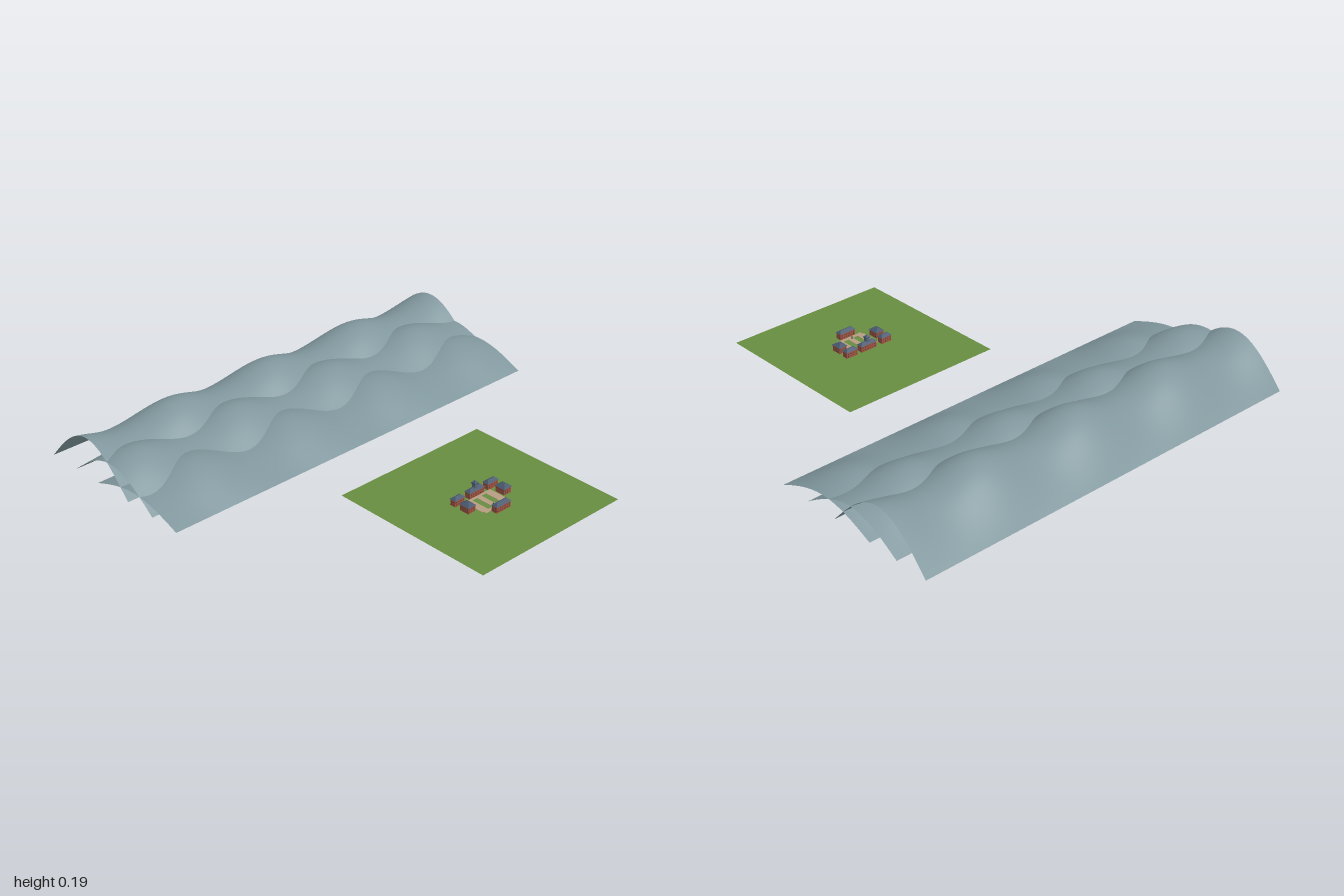
import * as THREE from 'three';

const mat = (name, color, side = THREE.FrontSide) => {
  const m = new THREE.MeshStandardMaterial({ color, side });
  m.name = name;
  return m;
};

export function createModel() {
  const model = new THREE.Group();
  model.name = 'valleyCampus';
  const hillMat = mat('hillBlueGrey', 0x80979d, THREE.DoubleSide);
  const grassMat = mat('grass', 0x688d40, THREE.DoubleSide);
  const pathMat = mat('sandPath', 0xb59d80);
  const brickMat = mat('brick', 0xa3503c);
  const roofMat = mat('slateRoof', 0x46566c, THREE.DoubleSide);
  const glassMat = mat('windowDark', 0x3a4350);
  const stoneMat = mat('towerSlate', 0x56687a);

  const add = (parent, name, geometry, material, x = 0, y = 0, z = 0) => {
    const mesh = new THREE.Mesh(geometry, material);
    mesh.name = name;
    mesh.position.set(x, y, z);
    parent.add(mesh);
    return mesh;
  };
  const box = (parent, name, w, h, d, material, x, y, z) =>
    add(parent, name, new THREE.BoxGeometry(w, h, d), material, x, y, z);

  // Hills: open arched sheets whose crest height waves along x
  const ridges = [
    { name: 'frontRidge', z: -0.365, base: 0.086, peak: 0.325, period: 0.515 },
    { name: 'middleRidge', z: -0.52, base: 0.134, peak: 0.19, period: 0.53 },
    { name: 'backRidge', z: -0.682, base: 0.169, peak: 0, period: 0.525 },
  ];
  for (const r of ridges) {
    const g = new THREE.PlaneGeometry(2, 0.525, 96, 32).rotateX(-Math.PI / 2);
    const p = g.attributes.position;
    for (let i = 0; i < p.count; i++) {
      const crest = r.base + 0.026 * Math.cos((2 * Math.PI * (p.getX(i) - r.peak)) / r.period);
      p.setY(i, crest * Math.cos((Math.PI * p.getZ(i)) / 0.525));
    }
    g.computeVertexNormals();
    add(model, r.name, g, hillMat, 0, 0, r.z);
  }

  // Lawn
  const lawn = new THREE.PlaneGeometry(0.8, 0.8).rotateX(-Math.PI / 2);
  add(model, 'lawn', lawn, grassMat, 0.065, 0.0015, 0.543);

  // Paths: three lanes joined at both ends, showing above and below the lawn
  const paths = new THREE.Group();
  paths.name = 'paths';
  model.add(paths);
  for (const [x, w] of [[0.007, 0.036], [0.065, 0.026], [0.123, 0.036]])
    box(paths, 'lane', w, 0.003, 0.09, pathMat, x, 0.0015, 0.585);
  box(paths, 'backWalk', 0.152, 0.003, 0.012, pathMat, 0.065, 0.0015, 0.534);
  box(paths, 'frontWalk', 0.14, 0.003, 0.016, pathMat, 0.065, 0.0015, 0.638);

  // Hipped roof: a box with its top drawn in to a short ridge
  const hipRoof = (w, h, d) => {
    const g = new THREE.BoxGeometry(w, h, d).toNonIndexed();
    const p = g.attributes.position;
    const inset = Math.min(w, d) * 0.42;
    for (let i = 0; i < p.count; i++) {
      if (p.getY(i) < 0) continue;
      p.setX(i, p.getX(i) - Math.sign(p.getX(i)) * inset);
      p.setZ(i, p.getZ(i) - Math.sign(p.getZ(i)) * inset);
    }
    g.computeVertexNormals();
    return g;
  };

  // Brick hall with window plates on all sides
  const hall = (name, x, z, w, d) => {
    const house = new THREE.Group();
    house.name = name;
    house.position.set(x, 0, z);
    model.add(house);
    box(house, 'walls', w - 0.006, 0.03, d - 0.006, brickMat, 0, 0.015, 0);
    add(house, 'roof', hipRoof(w, 0.012, d), roofMat, 0, 0.036, 0);
    const row = (length, place) => {
      const n = Math.max(2, Math.round(length / 0.015));
      for (let i = 0; i < n; i++) place(((i + 0.5) / n - 0.5) * (length - 0.008));
    };
    for (const s of [-1, 1]) {
      for (const y of [0.01, 0.021]) {
        row(w, (u) => box(house, 'window', 0.004, 0.005, 0.001, glassMat, u, y, s * (d / 2 - 0.003)));
        row(d, (u) => box(house, 'window', 0.001, 0.005, 0.004, glassMat, s * (w / 2 - 0.003), y, u));
      }
    }
    return house;
  };

  // Halls around the court
  hall('backLeftHall', 0.16, 0.514, 0.066, 0.034);
  hall('backRightHall', -0.036, 0.514, 0.06, 0.034);
  hall('sideLeftHall', 0.168, 0.578, 0.046, 0.054);
  hall('sideRightHall', -0.043, 0.578, 0.046, 0.054);
  hall('frontHall', 0.065, 0.663, 0.088, 0.034);
  const main = hall('mainHall', 0.065, 0.514, 0.09, 0.034);

  // Clock-tower style cupola on the main hall
  box(main, 'towerShaft', 0.017, 0.022, 0.017, stoneMat, 0, 0.047, 0);
  box(main, 'towerCornice', 0.023, 0.004, 0.023, roofMat, 0, 0.059, 0);
  add(main, 'towerRoof', hipRoof(0.021, 0.01, 0.021), roofMat, 0, 0.066, 0);

  // Small post in the court
  add(model, 'courtPost', new THREE.CylinderGeometry(0.003, 0.003, 0.012, 8), glassMat, 0.06, 0.009, 0.625);

  return model;
}
